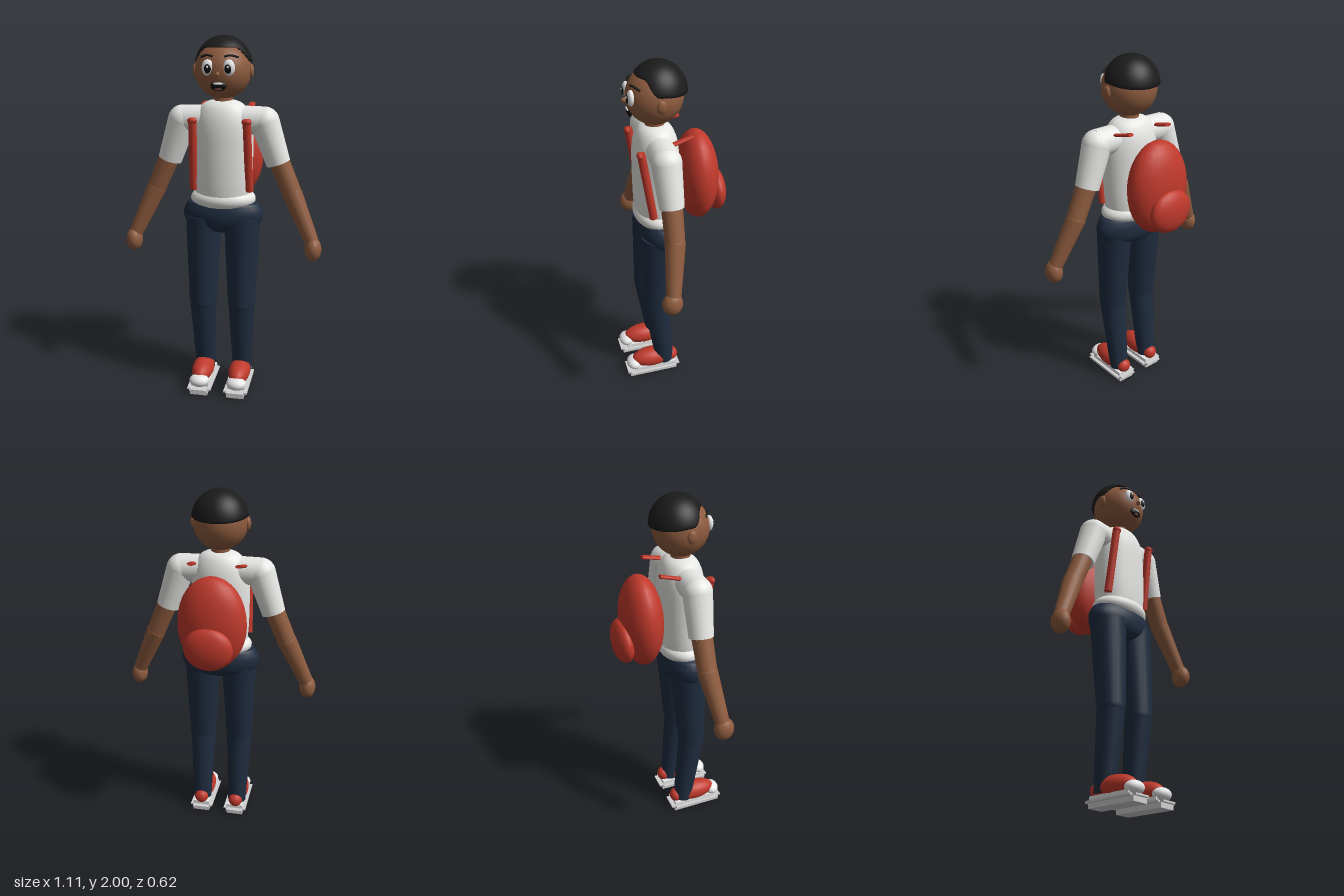
import * as THREE from 'three';

const mat = (name, color) => {
  const m = new THREE.MeshStandardMaterial({ color });
  m.name = name;
  return m;
};

export function createModel() {
  const skin = mat('skin', 0x8d5b3e), shirt = mat('shirt white', 0xe6e6e4), denim = mat('navy denim', 0x1f2c3f);
  const red = mat('red', 0xc0392b), hairMat = mat('hair black', 0x1b1b1b), white = mat('white', 0xffffff);
  const black = mat('black', 0x0c0c0c), tongueMat = mat('tongue', 0x8a4a45), soleMat = mat('sole grey', 0xd0d0d0);
  hairMat.side = THREE.DoubleSide;

  const model = new THREE.Group();
  const V = (p) => new THREE.Vector3(...p);
  const add = (name, geo, material, p = [0, 0, 0]) => {
    const m = new THREE.Mesh(geo, material);
    m.name = name;
    m.position.set(...p);
    model.add(m);
    return m;
  };
  // Ellipsoid from centre and half-sizes
  const ball = (name, material, p, r, seg = 24) => {
    const m = add(name, new THREE.SphereGeometry(1, seg, Math.ceil(seg * 0.7)), material, p);
    m.scale.set(...r);
    return m;
  };
  // Tapered limb between two points
  const limb = (name, material, a, b, ra, rb, seg = 20) => {
    const A = V(a), B = V(b), d = B.clone().sub(A);
    const m = add(name, new THREE.CylinderGeometry(rb, ra, d.length(), seg), material,
      A.clone().add(B).multiplyScalar(0.5).toArray());
    m.quaternion.setFromUnitVectors(new THREE.Vector3(0, 1, 0), d.normalize());
    return m;
  };
  const box = (name, material, p, s) => add(name, new THREE.BoxGeometry(...s), material, p);
  // Lathe body squashed front to back
  const lathe = (name, material, pts, zScale) => {
    const curve = new THREE.SplineCurve(pts.map(([r, y]) => new THREE.Vector2(r, y)));
    const p = curve.getPoints(28).map((v) => v.set(Math.max(0, v.x), v.y));
    const m = add(name, new THREE.LatheGeometry(p, 32), material, [0, 0, 0.08]);
    m.scale.z = zScale;
    return m;
  };

  // Torso, hem and hips
  lathe('torso', shirt, [[0.15, 1.1], [0.162, 1.22], [0.165, 1.4], [0.16, 1.53], [0.135, 1.61], [0.09, 1.655], [0, 1.675]], 0.76);
  ball('shirtHem', shirt, [0, 1.125, 0.08], [0.182, 0.075, 0.128], 32);
  lathe('hips', denim, [[0, 0.93], [0.13, 0.942], [0.2, 0.975], [0.225, 1.03], [0.213, 1.08], [0.17, 1.112], [0, 1.118]], 0.53);

  // Neck and head
  limb('neck', skin, [0, 1.6, 0.08], [0, 1.72, 0.08], 0.055, 0.05);
  ball('head', skin, [0, 1.82, 0.08], [0.15, 0.15, 0.15], 36);
  ball('nose', skin, [0, 1.81, 0.236], [0.011, 0.014, 0.016], 12);

  // Hair cap: high hairline over the face, lower at the sides and back
  const hair = new THREE.SphereGeometry(1, 48, 16), hp = hair.attributes.position;
  for (let i = 0; i < hp.count; i++) {
    const phi = (i % 49) / 48 * Math.PI * 2, t = Math.floor(i / 49) / 16;
    const f = Math.cos(phi);
    const line = (f > 0 ? 1.865 + 0.075 * THREE.MathUtils.smoothstep(f, 0.2, 0.75) : 1.865 + 0.02 * f);
    const edge = Math.acos((line - 1.84) / 0.16);
    const th = edge * Math.min(1, t * 16 / 15), k = t === 1 ? 0.86 : 1;
    hp.setXYZ(i, Math.sin(phi) * Math.sin(th) * 0.154 * k, Math.cos(th) * 0.16, Math.cos(phi) * Math.sin(th) * 0.151 * k);
  }
  hair.computeVertexNormals();
  add('hair', hair, hairMat, [0, 1.84, 0.061]);

  // Open mouth
  ball('mouth', black, [0, 1.75, 0.212], [0.042, 0.027, 0.014], 20);
  ball('teeth', white, [0, 1.762, 0.221], [0.027, 0.007, 0.008], 14);
  ball('tongue', tongueMat, [0, 1.735, 0.218], [0.022, 0.008, 0.009], 14);

  for (const s of [1, -1]) {
    const side = s > 0 ? 'left' : 'right';
    const P = (x, y, z) => [s * x, y, z];

    // Face features
    ball(side + 'Ear', skin, P(0.15, 1.818, 0.08), [0.015, 0.036, 0.027], 16);
    ball(side + 'EyeWhite', white, P(0.055, 1.842, 0.213), [0.032, 0.042, 0.02], 20);
    ball(side + 'Pupil', black, P(0.053, 1.838, 0.228), [0.018, 0.024, 0.009], 16);
    ball(side + 'EyeGlint', white, P(0.053, 1.847, 0.236), [0.006, 0.007, 0.004], 10);
    const brow = new THREE.CatmullRomCurve3([P(0.028, 1.897, 0.208), P(0.06, 1.904, 0.201), P(0.097, 1.893, 0.174)].map(V));
    add(side + 'Eyebrow', new THREE.TubeGeometry(brow, 12, 0.006, 6), hairMat);

    // Shoulder and sleeve
    limb(side + 'Yoke', shirt, P(0.05, 1.56, 0.08), P(0.235, 1.557, 0.08), 0.077, 0.077);
    ball(side + 'Shoulder', shirt, P(0.225, 1.553, 0.08), [0.08, 0.08, 0.08]);
    limb(side + 'Sleeve', shirt, P(0.225, 1.553, 0.08), P(0.302, 1.33, 0.073), 0.08, 0.066);

    // Arm and hand
    const elbow = P(0.382, 1.165, 0.078), wrist = P(0.498, 0.91, 0.118);
    limb(side + 'UpperArm', skin, P(0.28, 1.4, 0.073), elbow, 0.058, 0.053);
    ball(side + 'Elbow', skin, elbow, [0.054, 0.054, 0.054]);
    limb(side + 'Forearm', skin, elbow, wrist, 0.055, 0.04);
    ball(side + 'Hand', skin, P(0.508, 0.868, 0.127), [0.046, 0.066, 0.056]);

    // Leg
    const knee = P(0.112, 0.52, 0.115);
    limb(side + 'Thigh', denim, P(0.108, 1.02, 0.09), knee, 0.102, 0.078);
    ball(side + 'Knee', denim, knee, [0.077, 0.077, 0.077]);
    limb(side + 'Shin', denim, knee, P(0.11, 0.07, 0.066), 0.076, 0.055);

    // Shoe
    ball(side + 'ShoeUpper', red, P(0.108, 0.097, 0.145), [0.062, 0.06, 0.128]);
    ball(side + 'ShoeHeel', red, P(0.108, 0.09, 0.022), [0.042, 0.042, 0.038], 18);
    ball(side + 'ToeCap', white, P(0.108, 0.076, 0.262), [0.057, 0.036, 0.046], 20);
    box(side + 'Midsole', white, P(0.106, 0.05, 0.135), [0.1, 0.022, 0.26]);
    box(side + 'SoleWide', soleMat, P(0.106, 0.032, 0.147), [0.136, 0.01, 0.285]);
    box(side + 'SoleLong', soleMat, P(0.106, 0.033, 0.145), [0.1, 0.01, 0.33]);
    box(side + 'SoleBlock', soleMat, P(0.106, 0.015, 0.147), [0.1, 0.03, 0.295]);

    // Backpack straps
    limb(side + 'FrontStrap', red, P(0.145, 1.575, 0.19), P(0.155, 1.18, 0.132), 0.022, 0.022, 12);
    ball(side + 'StrapEnd', red, P(0.145, 1.565, 0.195), [0.027, 0.018, 0.018], 12);
    limb(side + 'TopStrap', red, P(0.142, 1.598, 0.03), P(0.13, 1.627, -0.088), 0.019, 0.019, 12).scale.z = 0.5;
  }

  // Backpack
  ball('backpack', red, [0, 1.323, -0.15], [0.19, 0.262, 0.116], 22);
  ball('backpackPocket', red, [0, 1.217, -0.258], [0.135, 0.12, 0.056], 20);

  return model;
}
